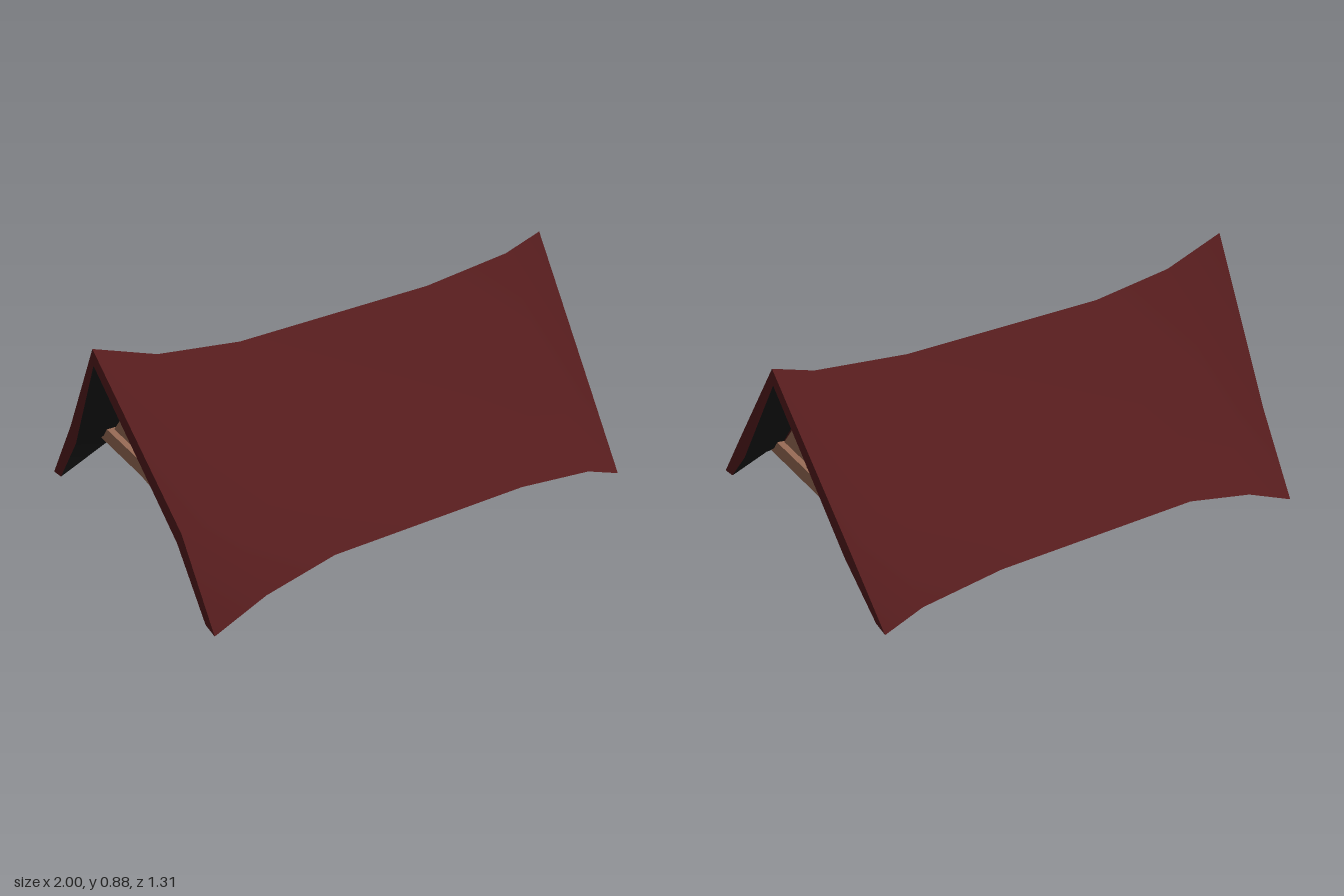
import * as THREE from 'three';
import { toCreasedNormals } from 'three/addons/utils/BufferGeometryUtils.js';

const mat = (name, color) => {
  const m = new THREE.MeshStandardMaterial({ color });
  m.name = name;
  return m;
};

// Stations along the roof: [x, y] of the ridge, the knee and the eave
const STATIONS = [
  [[-1, 0.885], [-0.91, 0.318], [-0.905, 0]],
  [[-0.745, 0.79], [-0.72, 0.315], [-0.69, 0.095]],
  [[-0.4, 0.743], [-0.4, 0.315], [-0.4, 0.162]],
  [[0.45, 0.747], [0.45, 0.315], [0.45, 0.162]],
  [[0.835, 0.79], [0.8, 0.315], [0.78, 0.122]],
  [[1, 0.845], [0.955, 0.315], [0.935, 0.062]],
];

// Closed cross-section: ridge, down the outside, back up the inside, mirrored
function section([r, k, e]) {
  const half = [
    [r[0], r[1], 0], [k[0], k[1], 0.446], [e[0], e[1], 0.655],
    [e[0], e[1] + 0.01, 0.59], [k[0], k[1] - 0.06, 0.408], [r[0], r[1] - 0.068, 0],
  ];
  const mirror = [4, 3, 2, 1].map((i) => [half[i][0], half[i][1], -half[i][2]]);
  return [...half, ...mirror];
}

export function createModel() {
  const roofRed = mat('roof red', 0x551c1d);
  const soffitBlack = mat('soffit black', 0x1c1c1c);
  const eaveGrey = mat('eave grey', 0xd6d6d6);
  const wood = mat('wood', 0x9a6c56);
  const model = new THREE.Group();
  model.name = 'gableRoof';

  const add = (name, geometry, material, parent = model) => {
    const mesh = new THREE.Mesh(geometry, material);
    mesh.name = name;
    parent.add(mesh);
  };

  // Roof shell, sorted into faces by part
  const faces = { roofCovering: [], overhangSoffit: [], eaveEdge: [], ceiling: [] };
  const quad = (part, a, b, c, d) => faces[part].push(...a, ...b, ...c, ...a, ...c, ...d);
  const loops = STATIONS.map(section);
  const half = ['roofCovering', 'roofCovering', 'eaveEdge', 'overhangSoffit', 'ceiling'];
  const strips = [...half, ...half.slice().reverse()];
  for (let s = 0; s < loops.length - 1; s++) {
    const a = loops[s], b = loops[s + 1];
    const overhang = s === 0 || s === loops.length - 2;
    strips.forEach((strip, j) => {
      const n = (j + 1) % strips.length;
      const part = strip === 'ceiling' && overhang ? 'overhangSoffit' : strip;
      quad(part, a[j], a[n], b[n], b[j]);
    });
  }
  // End boards of the roof
  const first = loops[0], last = loops[loops.length - 1];
  for (const cap of [[0, 1, 4, 5], [1, 2, 3, 4], [0, 5, 6, 9], [9, 6, 7, 8]]) {
    quad('roofCovering', ...cap.map((i) => last[i]));
    quad('roofCovering', ...cap.slice().reverse().map((i) => first[i]));
  }
  const colours = {
    roofCovering: roofRed, overhangSoffit: soffitBlack, eaveEdge: eaveGrey, ceiling: roofRed,
  };
  for (const part in faces) {
    const g = new THREE.BufferGeometry();
    g.setAttribute('position', new THREE.Float32BufferAttribute(faces[part], 3));
    add(part, toCreasedNormals(g, 0.7), colours[part]);
  }

  // Plates drawn in (z, y) and extruded along x, centred on x = 0
  const plate = (points, depth) => {
    const shape = new THREE.Shape(points.map(([z, y]) => new THREE.Vector2(-z, y)));
    return new THREE.ExtrudeGeometry(shape, { depth, bevelEnabled: false })
      .translate(0, 0, -depth / 2)
      .rotateY(Math.PI / 2);
  };

  // Gable walls with battens and a tie beam; the right beam sags a little
  for (const [name, x, sag] of [['leftGable', 0.79, 0], ['rightGable', -0.75, 0.012]]) {
    const gable = new THREE.Group();
    gable.name = name;
    gable.position.x = x;
    model.add(gable);
    add('gableWall', plate([[0, 0.727], [0.4, 0.255], [-0.4, 0.255]], 0.03), wood, gable);
    for (const side of [1, -1]) {
      add('batten', plate([
        [0.085 * side, 0.28], [0.145 * side, 0.28], [0.14 * side, 0.555], [0.085 * side, 0.62],
      ], 0.06), wood, gable);
    }
    add('tieBeam', plate([
      [0.385, 0.3], [0.437, 0.235], [0.1, 0.235], [0, 0.235 - sag],
      [-0.1, 0.235], [-0.437, 0.235], [-0.385, 0.3],
    ], 0.08), wood, gable);
  }
  return model;
}
